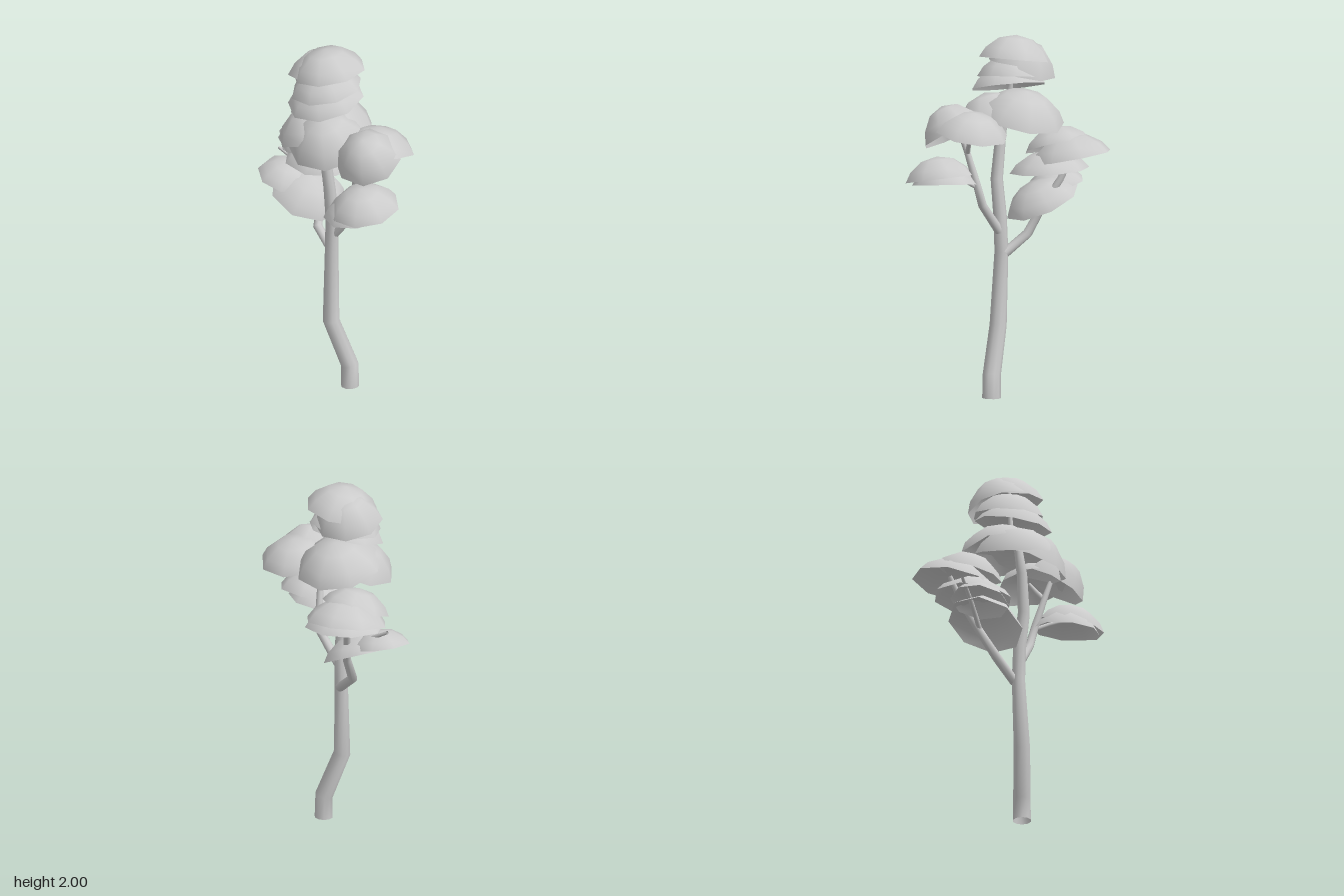
import * as THREE from 'three';
import { mergeVertices } from 'three/addons/utils/BufferGeometryUtils.js';

const UP = new THREE.Vector3(0, 1, 0);
const material = new THREE.MeshStandardMaterial({ color: 0xcccccc, side: THREE.DoubleSide });

// Weld the seam so the shading stays smooth all round
function smooth(geo) {
  geo.deleteAttribute('uv');
  geo.deleteAttribute('normal');
  const welded = mergeVertices(geo);
  welded.computeVertexNormals();
  return welded;
}

// Tapered limb through [x, y, z, radius] stations
function limb(name, stations) {
  const sides = 10, rows = stations.length;
  const geo = new THREE.CylinderGeometry(1, 1, 1, sides, rows - 1, true);
  const pos = geo.attributes.position;
  const pts = stations.map(([x, y, z]) => new THREE.Vector3(x, y, z));
  for (let row = 0; row < rows; row++) {
    const i = rows - 1 - row; // cylinder rows run from top to bottom
    const dir = new THREE.Vector3();
    if (i > 0) dir.add(pts[i].clone().sub(pts[i - 1]).normalize());
    if (i < rows - 1) dir.add(pts[i + 1].clone().sub(pts[i]).normalize());
    const turn = new THREE.Quaternion().setFromUnitVectors(UP, dir.normalize());
    for (let s = 0; s <= sides; s++) {
      const a = (s / sides) * Math.PI * 2, r = stations[i][3];
      const v = new THREE.Vector3(Math.sin(a) * r, 0, Math.cos(a) * r).applyQuaternion(turn).add(pts[i]);
      pos.setXYZ(row * (sides + 1) + s, v.x, v.y, v.z);
    }
  }
  const mesh = new THREE.Mesh(smooth(geo), material);
  mesh.name = name;
  return mesh;
}

// Open eight-sided leaf dome: unit radius, unit height, rim at y = 0
const domeProfile = [[1, 0], [0.83, 0.42], [0.48, 0.84], [0, 1]].map(([x, y]) => new THREE.Vector2(x, y));
const domeGeometry = smooth(new THREE.LatheGeometry(domeProfile, 8));

// Leaf cluster: each dome is [x, y, z, radius, height, leanX, leanZ, spin]
function cluster(name, domes) {
  const group = new THREE.Group();
  group.name = name;
  domes.forEach(([x, y, z, r, h, leanX, leanZ, spin], i) => {
    const dome = new THREE.Mesh(domeGeometry, material);
    dome.name = `${name}Dome${i + 1}`;
    dome.position.set(x, y, z);
    dome.scale.set(r, h, r);
    dome.quaternion.setFromUnitVectors(UP, new THREE.Vector3(leanX, 1, leanZ).normalize());
    dome.rotateY(spin);
    group.add(dome);
  });
  return group;
}

export function createModel() {
  const tree = new THREE.Group();
  tree.name = 'tree';

  // Trunk and branches
  tree.add(
    limb('trunk', [
      [0.1, 0, 0.055, 0.051], [0.097, 0.13, 0.055, 0.05], [0, 0.39, 0.088, 0.047],
      [-0.006, 0.8, 0.07, 0.038], [0, 1.0, 0.075, 0.037], [-0.003, 1.2, 0.1, 0.034],
      [-0.035, 1.42, 0.1, 0.03], [-0.045, 1.55, 0.085, 0.025], [-0.05, 1.72, 0.04, 0.014], [-0.05, 1.93, 0.03, 0.01],
    ]),
    limb('rightBranch', [
      [-0.01, 0.79, 0.05, 0.027], [-0.135, 0.89, -0.01, 0.026], [-0.15, 1.03, -0.09, 0.023],
      [-0.21, 1.2, -0.18, 0.019], [-0.26, 1.36, -0.24, 0.013],
    ]),
    limb('rightTwig', [[-0.16, 1.06, -0.1, 0.015], [-0.28, 1.18, -0.11, 0.013], [-0.43, 1.26, -0.11, 0.009]]),
    limb('leftBranch', [
      [0, 0.9, 0.07, 0.027], [0.14, 1.07, 0.085, 0.024], [0.165, 1.2, 0.11, 0.021],
      [0.185, 1.36, 0.155, 0.017], [0.23, 1.52, 0.19, 0.012],
    ]),
    limb('leftUpperTwig', [[0.185, 1.36, 0.155, 0.014], [0.25, 1.44, 0.09, 0.012], [0.3, 1.52, 0.03, 0.009]]),
    limb('leftLowerTwig', [[0.16, 1.17, 0.1, 0.014], [0.22, 1.22, 0.17, 0.012], [0.28, 1.26, 0.24, 0.009]]),
  );

  // Foliage
  tree.add(
    cluster('crown', [
      [-0.05, 1.865, 0.015, 0.205, 0.135, -0.17, 0.03, 0.2],
      [-0.1, 1.81, 0, 0.19, 0.165, -0.05, -0.28, 0.5],
      [-0.06, 1.765, 0.03, 0.2, 0.13, -0.15, 0.1, 0],
      [-0.05, 1.71, 0.055, 0.215, 0.12, -0.13, 0.22, 0.3],
    ]),
    cluster('middleFoliage', [
      [-0.06, 1.545, -0.03, 0.24, 0.155, 0.02, -0.28, 0.1],
      [0, 1.49, 0.12, 0.225, 0.19, 0, 0.38, 0.39],
      [-0.1, 1.53, 0.08, 0.22, 0.14, -0.38, 0.1, 0.2],
    ]),
    cluster('leftUpperFoliage', [
      [0.275, 1.475, 0.175, 0.185, 0.17, 0.06, 0.55, 0.3],
      [0.275, 1.49, 0.055, 0.205, 0.12, 0.03, -0.22, 0.2],
    ]),
    cluster('leftLowerFoliage', [
      [0.3, 1.22, 0.26, 0.195, 0.125, -0.05, 0.2, 0.2],
      [0.25, 1.18, 0.26, 0.185, 0.11, -0.12, 0.12, 0.5],
    ]),
    cluster('rightUpperFoliage', [
      [-0.24, 1.32, -0.23, 0.23, 0.13, 0.04, 0.2, 0.2],
      [-0.24, 1.375, -0.14, 0.19, 0.11, -0.08, 0.33, 0.4],
      [-0.165, 1.25, -0.14, 0.22, 0.11, 0.02, 0.08, 0],
    ]),
    cluster('rightLowerFoliage', [
      [-0.34, 1.14, -0.04, 0.165, 0.09, 0.22, 0.1, 0.3],
      [-0.215, 1.06, -0.05, 0.215, 0.12, 0.42, 0.2, 0.1],
    ]),
  );
  return tree;
}
